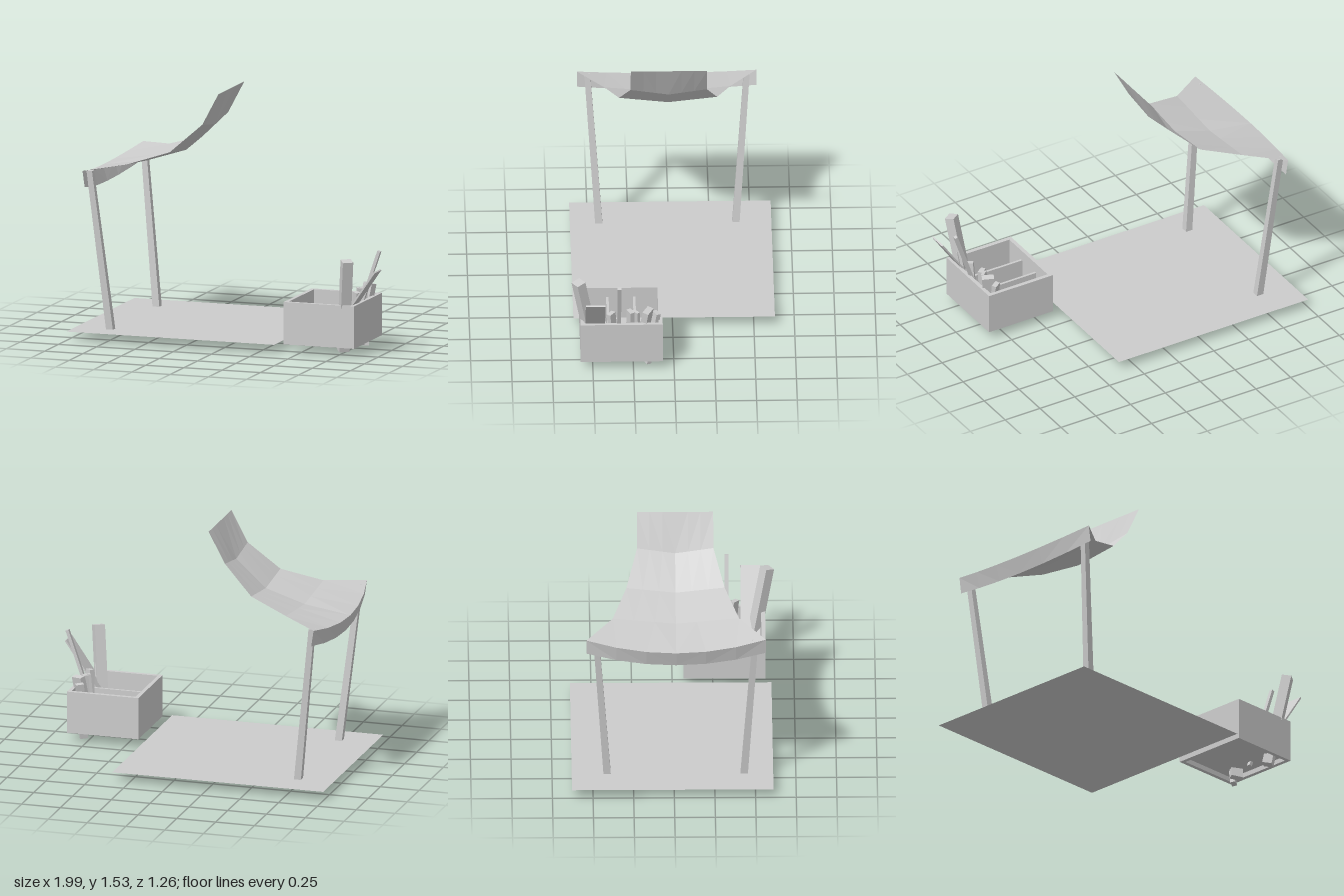
import * as THREE from 'three';

export function createModel() {
  const model = new THREE.Group();
  const grey = new THREE.MeshStandardMaterial({ color: 0xcccccc, flatShading: true });
  grey.name = 'plain grey';
  const greySheet = new THREE.MeshStandardMaterial({ color: 0xcccccc, flatShading: true, side: THREE.DoubleSide });
  greySheet.name = 'plain grey sheet';

  const add = (name, geometry, material = grey, parent = model) => {
    const mesh = new THREE.Mesh(geometry, material);
    mesh.name = name;
    parent.add(mesh);
    return mesh;
  };

  // Block given by its min and max corners
  const block = (name, x0, x1, y0, y1, z0, z1, parent) => {
    const g = new THREE.BoxGeometry(x1 - x0, y1 - y0, z1 - z0);
    g.translate((x0 + x1) / 2, (y0 + y1) / 2, (z0 + z1) / 2);
    return add(name, g, grey, parent);
  };

  // Straight bar from a to b, twisted about its own axis
  const bar = (name, a, b, w, d, twist, parent) => {
    const from = new THREE.Vector3(...a), to = new THREE.Vector3(...b);
    const dir = to.clone().sub(from);
    const g = new THREE.BoxGeometry(w, dir.length(), d);
    g.rotateY(twist);
    const mesh = add(name, g, grey, parent);
    mesh.position.copy(from).add(to).multiplyScalar(0.5);
    mesh.quaternion.setFromUnitVectors(new THREE.Vector3(0, 1, 0), dir.normalize());
    return mesh;
  };

  // Open sheet lofted through rows of points
  const sheet = (name, rows) => {
    const n = rows[0].length, index = [];
    for (let r = 0; r < rows.length - 1; r++) {
      for (let i = 0; i < n - 1; i++) {
        const a = r * n + i, b = a + 1, c = a + n, d = c + 1;
        // mirror the diagonals about the centre line
        if (i < (n - 1) / 2) index.push(a, b, c, b, d, c);
        else index.push(a, d, c, a, b, d);
      }
    }
    const g = new THREE.BufferGeometry();
    g.setAttribute('position', new THREE.Float32BufferAttribute(rows.flat(2), 3));
    g.setIndex(index);
    g.computeVertexNormals();
    return add(name, g, greySheet);
  };

  // Ground sheet
  const ground = new THREE.PlaneGeometry(1.36, 1.24);
  ground.rotateX(-Math.PI / 2);
  ground.translate(-0.32, 0.06, -0.01);
  add('groundSheet', ground, greySheet);

  // Canopy: sagging rows from the low edge to the raised tail
  const across = [-1, -2 / 3, -1 / 3, 0, 1 / 3, 2 / 3, 1];
  const lowEdge = (xMid, xEnd, yMid, yEnd) => across.map((t) => [
    xMid + (xEnd - xMid) * t * t, yMid + (yEnd - yMid) * t * t, 0.012 + 0.552 * t]);
  const canopyRow = ([x, yMid, yEnd, half]) => across.map((t) => [
    x, yMid + (yEnd - yMid) * Math.abs(t), 0.012 + half * t]);
  const rim = lowEdge(-0.975, -0.91, 1.005, 1.062);
  sheet('canopy', [rim, ...[
    [-0.68, 1.05, 1.088, 0.388],
    [-0.43, 1.13, 1.165, 0.302],
    [-0.24, 1.302, 1.338, 0.235],
    [-0.135, 1.535, 1.535, 0.235],
  ].map(canopyRow)]);
  sheet('canopyValance', [lowEdge(-0.945, -0.895, 0.905, 0.962), rim]);

  // Two leaning, slightly tapered posts
  for (const side of [-1, 1]) {
    const g = new THREE.BoxGeometry(1, 1, 1);
    const p = g.attributes.position;
    for (let i = 0; i < p.count; i++) {
      const top = p.getY(i) > 0;
      const size = top ? 0.036 : 0.045;
      p.setXYZ(i,
        (top ? -0.882 : -0.773) + p.getX(i) * size,
        top ? 1.055 : 0.06,
        0.01 + side * (top ? 0.49 : 0.422) + p.getZ(i) * size);
    }
    g.computeVertexNormals();
    add(side > 0 ? 'frontPost' : 'backPost', g);
  }

  // Crate with raised floor and two dividers
  const crate = new THREE.Group();
  crate.name = 'crate';
  model.add(crate);
  block('crateFrontWall', 0.41, 0.87, 0.06, 0.325, 0.55, 0.575, crate);
  block('crateBackWall', 0.41, 0.87, 0.06, 0.325, 0.07, 0.095, crate);
  block('crateLeftWall', 0.845, 0.87, 0.06, 0.325, 0.095, 0.55, crate);
  block('crateRightWall', 0.41, 0.435, 0.06, 0.325, 0.095, 0.55, crate);
  block('crateFloor', 0.435, 0.845, 0.09, 0.11, 0.095, 0.55, crate);
  for (const z of [0.238, 0.403]) block('crateDivider', 0.435, 0.845, 0.11, 0.26, z - 0.008, z + 0.008, crate);

  // Loose pieces leaning in the crate
  const pieces = new THREE.Group();
  pieces.name = 'loosePieces';
  model.add(pieces);
  bar('tallBeam', [0.765, 0.028, 0.48], [0.828, 0.608, 0.588], 0.066, 0.06, 0.6, pieces);
  bar('wideBoard', [0.69, 0.1, 0.485], [0.99, 0.537, 0.485], 0.01, 0.122, 0, pieces);
  bar('thinPole', [0.75, 0.06, 0.338], [0.95, 0.636, 0.338], 0.02, 0.024, 0, pieces);
  const stubs = [
    [[0.79, 0.008, 0.165], [0.8, 0.37, 0.106], 0.05, 0.03, 0.5],
    [[0.765, 0.025, 0.212], [0.825, 0.4, 0.16], 0.04, 0.075, 1.1],
    [[0.79, 0.1, 0.22], [0.81, 0.385, 0.235], 0.05, 0.02, 0.7],
    [[0.78, 0.1, 0.27], [0.805, 0.385, 0.267], 0.05, 0.03, 0.5],
    [[0.81, 0.1, 0.36], [0.82, 0.38, 0.388], 0.05, 0.03, -0.7],
    [[0.8, 0.1, 0.48], [0.82, 0.38, 0.535], 0.03, 0.03, 0.3],
  ];
  for (const s of stubs) bar('shortPiece', ...s, pieces);

  return model;
}
